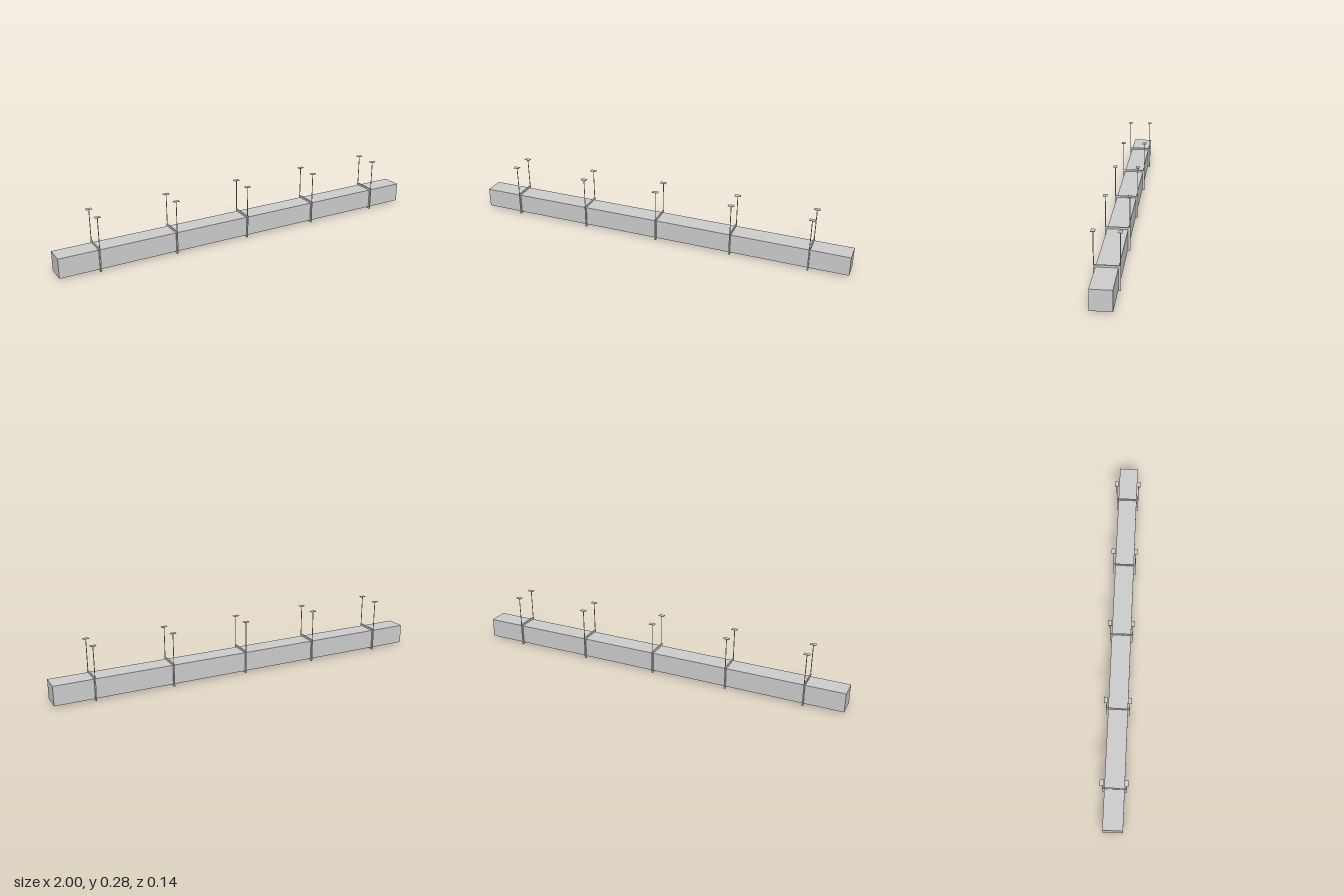
import * as THREE from 'three';

const material = new THREE.MeshStandardMaterial({ color: 0xcccccc });

function add(parent, name, geometry, x, y, z) {
  const mesh = new THREE.Mesh(geometry, material);
  mesh.name = name;
  mesh.position.set(x, y, z);
  parent.add(mesh);
  return mesh;
}

// Square collar wrapped round the duct, extruded along x
function collarGeometry(outer, inner, thickness) {
  const square = (path, h) =>
    path.moveTo(-h, -h).lineTo(h, -h).lineTo(h, h).lineTo(-h, h).closePath();
  const shape = square(new THREE.Shape(), outer);
  shape.holes.push(square(new THREE.Path(), inner));
  return new THREE.ExtrudeGeometry(shape, { depth: thickness, bevelEnabled: false })
    .translate(0, 0, -thickness / 2)
    .rotateY(Math.PI / 2);
}

export function createModel() {
  const model = new THREE.Group();
  model.name = 'suspendedDuct';
  const midY = 0.06;

  // Long square duct
  add(model, 'duct', new THREE.BoxGeometry(2, 0.1, 0.1), 0, midY, 0);

  // Hangers: collar, two rods and their ceiling plates
  const collar = collarGeometry(0.06, 0.05, 0.006);
  const rod = new THREE.CylinderGeometry(0.002, 0.002, 0.159, 8);
  const plate = new THREE.BoxGeometry(0.03, 0.002, 0.02);
  for (let i = -2; i <= 2; i++) {
    const hanger = new THREE.Group();
    hanger.name = 'hanger';
    hanger.position.x = i * 0.4;
    add(hanger, 'collar', collar, 0, midY, 0);
    for (const side of [1, -1]) {
      add(hanger, 'rod', rod, 0, 0.1995, side * 0.058);
      add(hanger, 'ceilingPlate', plate, 0, 0.279, side * 0.058);
    }
    model.add(hanger);
  }
  return model;
}
